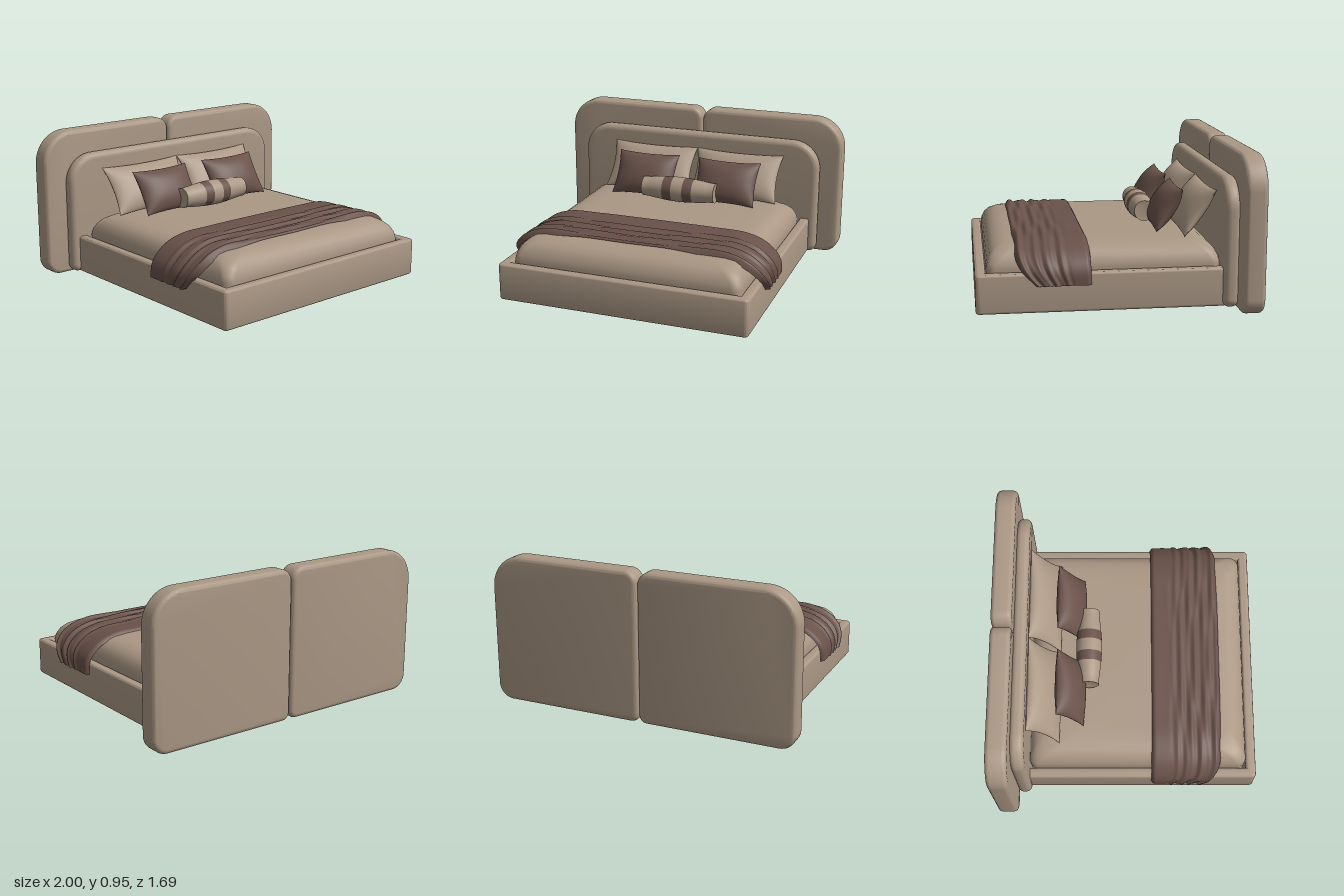
import * as THREE from 'three';
import { toCreasedNormals } from 'three/addons/utils/BufferGeometryUtils.js';
import { ParametricGeometry } from 'three/addons/geometries/ParametricGeometry.js';

export function createModel() {
  const model = new THREE.Group();
  const beige = new THREE.MeshStandardMaterial({ name: 'beige fabric', color: 0xab9885, side: THREE.DoubleSide });
  const brown = new THREE.MeshStandardMaterial({ name: 'brown fabric', color: 0x69524a, side: THREE.DoubleSide });

  const add = (name, geometry, material, parent = model) => {
    const mesh = new THREE.Mesh(geometry, material);
    mesh.name = name;
    parent.add(mesh);
    return mesh;
  };

  // Rectangle with its own radius per corner: bottom left, bottom right, top right, top left
  const roundedRect = (x0, y0, x1, y1, [bl, br, tr, tl]) => {
    const s = new THREE.Shape();
    s.moveTo(x0 + bl, y0);
    s.lineTo(x1 - br, y0);
    s.absarc(x1 - br, y0 + br, br, -Math.PI / 2, 0);
    s.lineTo(x1, y1 - tr);
    s.absarc(x1 - tr, y1 - tr, tr, 0, Math.PI / 2);
    s.lineTo(x0 + tl, y1);
    s.absarc(x0 + tl, y1 - tl, tl, Math.PI / 2, Math.PI);
    s.lineTo(x0, y0 + bl);
    s.absarc(x0 + bl, y0 + bl, bl, Math.PI, Math.PI * 1.5);
    return s;
  };

  // Padded slab from z0 to z1; the bevel stays inside the outline
  const slab = (shape, z0, z1, bevel) => {
    const g = new THREE.ExtrudeGeometry(shape, {
      depth: z1 - z0 - 2 * bevel, bevelEnabled: true, bevelThickness: bevel,
      bevelSize: bevel, bevelOffset: -bevel, bevelSegments: 6, curveSegments: 16,
    });
    g.translate(0, 0, z0 + bevel);
    return toCreasedNormals(g, 0.7);
  };

  // Headboard: two large back panels and a lower padded front panel
  const [leftPanel, rightPanel] = [
    roundedRect(0.002, 0.004, 1, 0.952, [0.05, 0.1, 0.21, 0.08]),
    roundedRect(-1, 0.004, -0.002, 0.952, [0.1, 0.05, 0.08, 0.21]),
  ];
  add('leftHeadboardPanel', slab(leftPanel, -0.845, -0.713, 0.028), beige);
  add('rightHeadboardPanel', slab(rightPanel, -0.845, -0.713, 0.028), beige);
  const inner = roundedRect(-0.86, 0.02, 0.86, 0.8, [0.05, 0.05, 0.19, 0.19]);
  add('innerHeadboard', slab(inner, -0.72, -0.63, 0.036), beige);

  // Base: U-shaped upholstered rail, open underneath
  const W = 0.81, F = 0.845, B = -0.65, T = 0.065, R = 0.03;
  const rail = new THREE.Shape();
  rail.moveTo(-W, -B);
  rail.lineTo(-W, -F + R);
  rail.quadraticCurveTo(-W, -F, -W + R, -F);
  rail.lineTo(W - R, -F);
  rail.quadraticCurveTo(W, -F, W, -F + R);
  rail.lineTo(W, -B);
  rail.lineTo(W - T, -B);
  rail.lineTo(W - T, -F + T);
  rail.lineTo(-W + T, -F + T);
  rail.lineTo(-W + T, -B);
  rail.closePath();
  const railGeometry = slab(rail, 0.02, 0.26, 0.018);
  railGeometry.rotateX(-Math.PI / 2);
  add('bedFrame', railGeometry, beige);

  // Mattress: soft shell lofted from rounded rectangles, open below
  const rings = [ // inset, height, corner radius
    [0, 0.17, 0.06], [0, 0.27, 0.06], [0.008, 0.305, 0.06], [0.025, 0.342, 0.07],
    [0.05, 0.37, 0.08], [0.085, 0.39, 0.09], [0.13, 0.402, 0.1], [0.22, 0.409, 0.1], [0.45, 0.412, 0.1],
  ];
  const ringSize = 64, positions = [], indices = [];
  rings.forEach(([inset, y, r], k) => {
    const hx = 0.742 - inset, hz = 0.706 - inset;
    for (let c = 0; c < 4; c++) {
      const sx = c === 0 || c === 3 ? 1 : -1, sz = c < 2 ? 1 : -1;
      for (let i = 0; i < ringSize / 4; i++) {
        const a = (c + i / (ringSize / 4 - 1)) * Math.PI / 2;
        positions.push(sx * (hx - r) + r * Math.cos(a), y, 0.072 + sz * (hz - r) + r * Math.sin(a));
      }
    }
    if (k === 0) return;
    for (let i = 0; i < ringSize; i++) {
      const j = (i + 1) % ringSize, a = (k - 1) * ringSize, b = k * ringSize;
      indices.push(a + i, b + i, b + j, a + i, b + j, a + j);
    }
  });
  positions.push(0, 0.412, 0.072);
  const last = (rings.length - 1) * ringSize;
  for (let i = 0; i < ringSize; i++) {
    indices.push(last + i, rings.length * ringSize, last + (i + 1) % ringSize);
  }
  const mattress = new THREE.BufferGeometry();
  mattress.setAttribute('position', new THREE.Float32BufferAttribute(positions, 3));
  mattress.setIndex(indices);
  mattress.computeVertexNormals();
  add('mattress', mattress, beige);

  // Throw: sheet draped over the bed, with folds running across it
  const side = [[0.836, 0.188], [0.83, 0.26], [0.802, 0.315], [0.72, 0.383], [0.6, 0.421], [0.4, 0.428]];
  const drape = new THREE.CatmullRomCurve3([
    ...side.map(([x, y]) => new THREE.Vector3(x, y, 0)),
    new THREE.Vector3(0, 0.43, 0),
    ...side.map(([x, y]) => new THREE.Vector3(-x, y, 0)).reverse(),
  ]);
  const throwGeometry = new ParametricGeometry((u, v, target) => {
    const p = drape.getPointAt(u), t = drape.getTangentAt(u);
    const hang = THREE.MathUtils.clamp((0.4 - p.y) / 0.21, 0, 1);
    const front = 0.61 - 0.12 * hang ** 2;
    const z = 0.162 + v * (front - 0.162);
    const edge = Math.min(v, 1 - v);
    const roll = edge < 0.06 ? -0.022 * (1 - edge / 0.06) ** 2 : 0;
    const gather = THREE.MathUtils.smoothstep(v, 0.2, 0.5);
    const wave = Math.sin(v * 34 + 1.6 * Math.sin(u * 9)) + 0.6 * Math.sin(v * 57 - 2.2 * Math.sin(u * 7 + 1));
    const d = roll + gather * 0.006 * wave;
    target.set(p.x + t.y * d, p.y - t.x * d, z);
  }, 110, 60);
  throwGeometry.computeVertexNormals();
  add('throwBlanket', throwGeometry, brown);

  // Pillows: puffed rectangles with pinched corners
  const pillow = (w, h, depth) => {
    const g = new ParametricGeometry((u, v, target) => {
      const back = u > 0.5;
      const a = Math.sin((back ? 3 - 4 * u : 4 * u - 1) * Math.PI / 2);
      const b = Math.sin((2 * v - 1) * Math.PI / 2);
      const puff = ((1 - Math.abs(a) ** 2.4) * (1 - Math.abs(b) ** 2.4)) ** 0.6;
      target.set(
        a * w / 2 * (1 - 0.07 * (1 - b * b)),
        b * h / 2 * (1 - 0.08 * (1 - a * a)),
        (back ? -1 : 1) * depth / 2 * puff);
    }, 64, 28);
    g.computeVertexNormals();
    return g;
  };
  const largePillow = pillow(0.62, 0.345, 0.14);
  const smallPillow = pillow(0.44, 0.31, 0.145);
  for (const [label, s] of [['left', 1], ['right', -1]]) {
    const large = add(label + 'SleepingPillow', largePillow, beige);
    large.position.set(s * 0.31, 0.552, -0.53);
    large.rotation.x = -0.6;
    const small = add(label + 'AccentPillow', smallPillow, brown);
    small.position.set(s * 0.29, 0.55, -0.36);
    small.rotation.x = -0.56;
  }

  // Bolster: lathe sections along x, alternating plain and banded
  const bolster = new THREE.Group();
  bolster.name = 'bolster';
  bolster.position.set(0, 0.502, -0.245);
  model.add(bolster);
  const radius = (x) => 0.066 + 0.018 * Math.cos(Math.min(1, Math.abs(x) / 0.22) * Math.PI / 2);
  const cuts = [-0.255, -0.105, -0.04, 0.04, 0.105, 0.255];
  for (let i = 0; i < 5; i++) {
    const profile = [];
    if (i === 0) profile.push(new THREE.Vector2(0, -0.245));
    for (let k = 0; k <= 8; k++) {
      const x = cuts[i] + (cuts[i + 1] - cuts[i]) * k / 8;
      profile.push(new THREE.Vector2(radius(x), x));
    }
    if (i === 4) profile.push(new THREE.Vector2(0, 0.245));
    const g = toCreasedNormals(new THREE.LatheGeometry(profile, 32), 0.7);
    g.rotateZ(-Math.PI / 2);
    add(i % 2 ? 'bolsterBand' : 'bolsterBody', g, i % 2 ? brown : beige, bolster);
  }

  return model;
}
